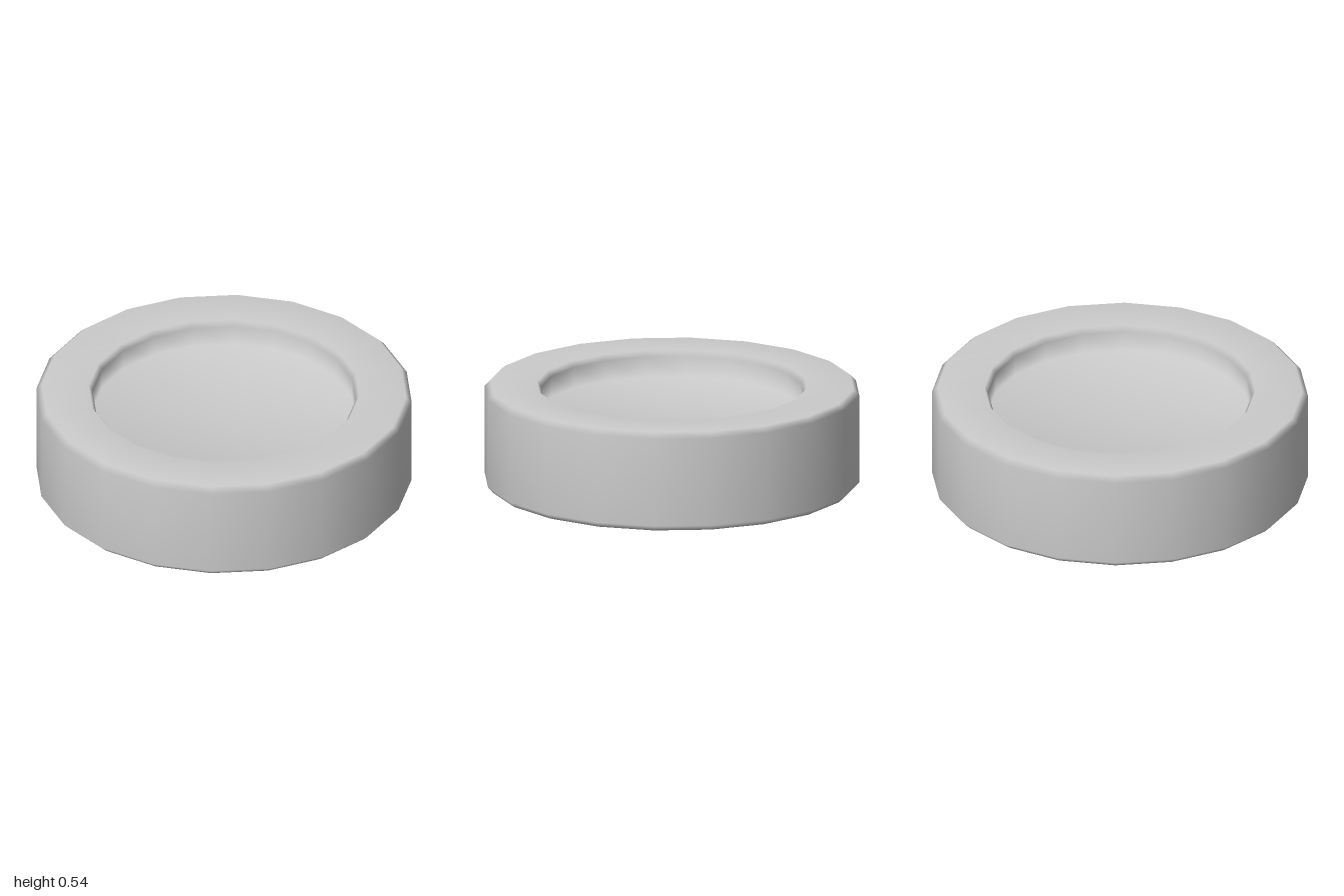
import * as THREE from 'three';
import { mergeVertices } from 'three/addons/utils/BufferGeometryUtils.js';

const HEIGHT = 0.54, RADIUS = 1, RECESS = 0.72, DEPTH = 0.14, BEVEL = 0.03, SIDES = 20;

export function createModel() {
  const group = new THREE.Group();
  group.name = 'recessedDisc';

  // Lower half of the section, from the recess centre out to the rim
  const lower = [
    [0, DEPTH],
    [RECESS - 0.02, DEPTH],
    [RECESS - 0.02, BEVEL],
    [RECESS, 0],
    [RADIUS - BEVEL, 0],
    [RADIUS, BEVEL],
  ];
  // The upper half mirrors it
  const upper = lower.map(([r, y]) => [r, HEIGHT - y]).reverse();
  const profile = [...lower, ...upper].map(([r, y]) => new THREE.Vector2(r, y));

  // Weld the seam so the area-weighted normals run smoothly round the disc
  let geometry = new THREE.LatheGeometry(profile, SIDES);
  geometry.deleteAttribute('uv');
  geometry.deleteAttribute('normal');
  geometry = mergeVertices(geometry, 1e-4);
  geometry.computeVertexNormals();

  const disc = new THREE.Mesh(geometry, new THREE.MeshStandardMaterial({ color: 0xcccccc }));
  disc.name = 'disc';
  group.add(disc);
  return group;
}
